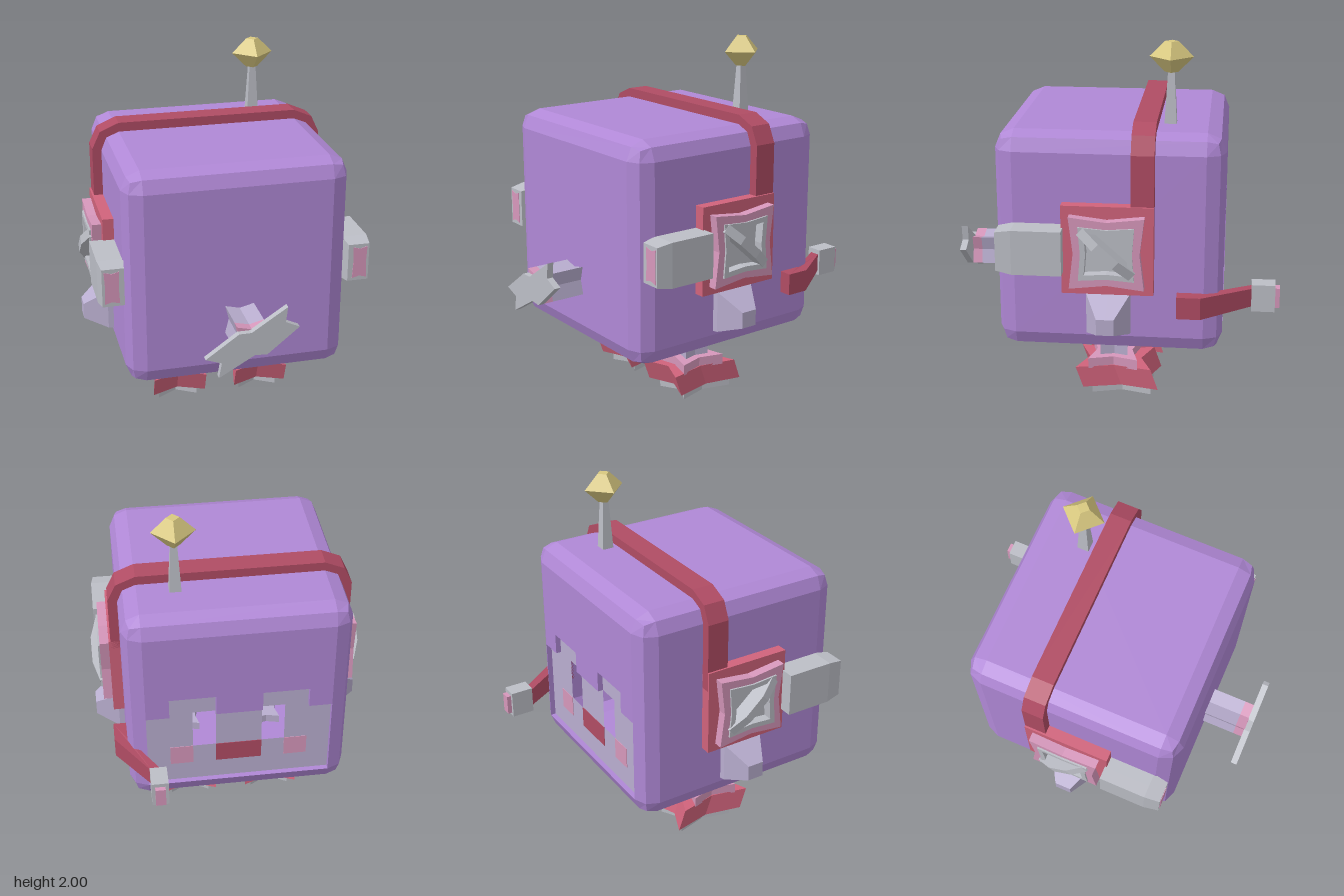
import * as THREE from 'three';
import { RoundedBoxGeometry } from 'three/addons/geometries/RoundedBoxGeometry.js';

function material(name, color, doubleSided = false) {
  const m = new THREE.MeshStandardMaterial({ color, flatShading: true });
  m.name = name;
  if (doubleSided) m.side = THREE.DoubleSide;
  return m;
}

// Closed loft along z; each section is [z, cx, cy, halfX, halfY, pinch].
// A pinch below 1 pulls the side midpoints inward.
function loft(sections) {
  const ring = [[1, 0], [1, 1], [0, 1], [-1, 1], [-1, 0], [-1, -1], [0, -1], [1, -1]];
  const pos = [], idx = [];
  for (const [z, cx, cy, hx, hy, pinch = 1] of sections) {
    for (const [a, b] of ring) {
      const k = a && b ? 1 : pinch;
      pos.push(cx + a * hx * k, cy + b * hy * k, z);
    }
  }
  const last = (sections.length - 1) * 8;
  for (let s = 0; s < last; s += 8) {
    for (let i = 0; i < 8; i++) {
      const j = (i + 1) % 8;
      idx.push(s + i, s + j, s + 8 + j, s + i, s + 8 + j, s + 8 + i);
    }
  }
  const ends = [sections[0], sections[sections.length - 1]];
  ends.forEach(([z, cx, cy], e) => {
    const c = pos.length / 3, o = e * last;
    pos.push(cx, cy, z);
    for (let i = 0; i < 8; i++) {
      const j = (i + 1) % 8;
      if (e) idx.push(c, o + i, o + j);
      else idx.push(c, o + j, o + i);
    }
  });
  const g = new THREE.BufferGeometry();
  g.setAttribute('position', new THREE.Float32BufferAttribute(pos, 3));
  g.setIndex(idx);
  const flat = g.toNonIndexed();
  flat.computeVertexNormals();
  return flat;
}
const loftX = (s) => loft(s).rotateY(Math.PI / 2); // z -> x, x -> -z
const loftY = (s) => loft(s).rotateX(-Math.PI / 2); // z -> y, y -> -z

const shapeOf = (pts) => new THREE.Shape(pts.map(([x, y]) => new THREE.Vector2(x, y)));
const rect = (x0, y0, x1, y1) => [[x0, y0], [x1, y0], [x1, y1], [x0, y1]];
const extrude = (pts, depth) =>
  new THREE.ExtrudeGeometry(shapeOf(pts), { depth, bevelEnabled: false });

export function createModel() {
  const purple = material('purple', 0xb088d6, true);
  const lavender = material('lavender', 0xb9aecf, true);
  const gray = material('gray', 0xbcbec6);
  const red = material('red', 0xd0637b);
  const darkRed = material('dark red', 0xb04c64, true);
  const pink = material('pink', 0xd697bb, true);
  const gold = material('gold', 0xd8c880);

  const model = new THREE.Group();
  const add = (parent, name, geo, mat) => {
    const m = new THREE.Mesh(geo, mat);
    m.name = name;
    parent.add(m);
    return m;
  };

  // Body: hollow rounded cube, its flat face at -z left open
  const box = new RoundedBoxGeometry(1.2, 1.2, 1.2, 1, 0.1);
  const p = box.attributes.position, kept = [];
  for (let i = 0; i < p.count; i += 3) {
    if ([0, 1, 2].every((k) => p.getZ(i + k) < -0.599)) continue;
    for (let k = 0; k < 3; k++) kept.push(p.getX(i + k), p.getY(i + k) + 0.97, p.getZ(i + k) + 0.01);
  }
  const shell = new THREE.BufferGeometry();
  shell.setAttribute('position', new THREE.Float32BufferAttribute(kept, 3));
  shell.computeVertexNormals();
  add(model, 'body', shell, purple);

  // Face: sunken panel with a stepped top edge and open eyes
  const u = 0.125, v = 0.12, y0 = 0.47, zOut = -0.59, zIn = -0.56;
  const steps = [[4, 4], [3, 4], [3, 5], [1, 5], [1, 4], [-1, 4], [-1, 5], [-3, 5], [-3, 4], [-4, 4]]
    .map(([a, b]) => [a * u, y0 + b * v]);
  const outline = [[-0.5, y0], [0.5, y0], ...steps];
  const surround = [...steps, [-0.5, 1.47], [0.5, 1.47]];
  add(model, 'faceSurround', new THREE.ShapeGeometry(shapeOf(surround)).translate(0, 0, zOut), purple);
  const face = shapeOf(outline);
  for (const s of [-1, 1]) {
    face.holes.push(shapeOf(rect(s * u, y0 + 2 * v, s * 2 * u, y0 + 4 * v)));
    add(model, 'cheek', new THREE.BoxGeometry(u, v, 0.006)
      .translate(s * 2.5 * u, y0 + 1.5 * v, zIn), pink);
  }
  add(model, 'facePanel', new THREE.ShapeGeometry(face).translate(0, 0, zIn), lavender);
  add(model, 'mouth', new THREE.BoxGeometry(2 * u, v, 0.006).translate(0, y0 + 1.5 * v, zIn), darkRed);
  const wall = [];
  outline.forEach(([ax, ay], i) => {
    const [bx, by] = outline[(i + 1) % outline.length];
    wall.push(ax, ay, zOut, bx, by, zOut, bx, by, zIn, ax, ay, zOut, bx, by, zIn, ax, ay, zIn);
  });
  const wallGeo = new THREE.BufferGeometry();
  wallGeo.setAttribute('position', new THREE.Float32BufferAttribute(wall, 3));
  wallGeo.computeVertexNormals();
  add(model, 'faceRim', wallGeo, purple);

  // Headband arch
  const outer = [[0.65, 1.1], [0.65, 1.48], [0.605, 1.575], [0.5, 1.62]];
  const inner = [[0.595, 1.1], [0.595, 1.47], [0.565, 1.535], [0.5, 1.565]];
  const flip = (pts) => pts.map(([x, y]) => [-x, y]);
  const arch = [...outer, ...flip(outer).reverse(), ...flip(inner), ...[...inner].reverse()];
  add(model, 'headband', extrude(arch, 0.12).translate(0, 0, -0.23), darkRed);

  // Ear pieces, front blocks and side fins, mirrored left and right
  for (const s of [1, -1]) {
    const side = new THREE.Group();
    side.name = s > 0 ? 'leftSide' : 'rightSide';
    side.scale.x = s;
    model.add(side);
    add(side, 'earPlate', new THREE.BoxGeometry(0.07, 0.48, 0.48).translate(0.625, 0.97, 0.01), red);
    const pinched = (h, k) => [[h, h], [0, h * k], [-h, h], [-h * k, 0], [-h, -h], [0, -h * k], [h, -h], [h * k, 0]];
    const ring = (h, k, hole, depth) => {
      const shape = shapeOf(pinched(h, k));
      shape.holes.push(shapeOf(pinched(hole, 0.92)));
      return new THREE.ExtrudeGeometry(shape, { depth, bevelEnabled: false })
        .rotateY(Math.PI / 2).translate(0.66, 0.97, 0.01);
    };
    add(side, 'earCushion', ring(0.195, 0.88, 0.145, 0.05), pink);
    add(side, 'earInnerRing', ring(0.145, 0.92, 0.115, 0.06), gray);
    add(side, 'earRecess', new THREE.BoxGeometry(0.01, 0.26, 0.26).translate(0.662, 0.97, 0.01), gray);
    const bar = extrude([[-0.18, 0.665], [0.18, 0.665], [0.18, 0.722], [0.07, 0.757], [-0.07, 0.757], [-0.18, 0.722]], 0.05)
      .translate(0, 0, -0.025).rotateZ(-Math.PI / 2).rotateX(Math.PI / 2)
      .rotateX(Math.PI - 0.73);
    add(side, 'earBar', bar.translate(0, 0.975, 0.01), gray);
    add(side, 'frontBlock', loft([
      [0.24, 0.663, 0.97, 0.07, 0.12], [0.5, 0.663, 0.97, 0.07, 0.12], [0.585, 0.663, 0.97, 0.058, 0.105],
    ]), gray);
    add(side, 'frontBlockInset', loft([
      [0.58, 0.67, 0.97, 0.04, 0.09, 0.88], [0.588, 0.67, 0.97, 0.04, 0.09, 0.88],
    ]), pink);
    add(side, 'sideFin', loftX([
      [0.58, -0.01, 0.61, 0.12, 0.12], [0.63, -0.01, 0.608, 0.115, 0.112], [0.758, -0.013, 0.583, 0.046, 0.044],
    ]), lavender);

    // Leg with layered pinched foot
    add(side, 'leg', loftY([[0.21, 0.24, -0.012, 0.077, 0.077, 0.75], [0.42, 0.24, -0.012, 0.077, 0.077, 0.75]]), lavender);
    add(side, 'ankle', loftY([[0.16, 0.24, -0.013, 0.139, 0.137, 0.72], [0.22, 0.24, -0.013, 0.139, 0.137, 0.72]]), pink);
    add(side, 'shoe', loftY([[0.05, 0.24, 0.032, 0.152, 0.21, 0.7], [0.17, 0.24, -0.01, 0.152, 0.21, 0.7]]), red);
    add(side, 'sole', loftY([[0, 0.24, 0.035, 0.112, 0.165, 0.6], [0.06, 0.24, 0.035, 0.112, 0.165, 0.6]]), gray);
  }

  // Tail with a pink collar and a jagged end plate
  add(model, 'tail', loft([[0.58, 0, 0.73, 0.078, 0.078, 0.75], [0.8, 0, 0.73, 0.078, 0.078, 0.75]]), lavender);
  add(model, 'tailCollar', loft([[0.8, 0, 0.73, 0.078, 0.078, 0.75], [0.855, 0, 0.73, 0.078, 0.078, 0.75]]), pink);
  const jag = [[0.18, 0.91], [-0.01, 0.785], [-0.075, 0.785], [-0.25, 0.66], [-0.165, 0.63],
    [-0.18, 0.545], [0.01, 0.655], [0.075, 0.65], [0.245, 0.79], [0.17, 0.825]];
  add(model, 'tailPlate', extrude(jag, 0.035).translate(0, 0, 0.852), gray);

  // Antenna with faceted bulb
  add(model, 'antennaStem', loftY([[1.55, 0.3, 0.29, 0.033, 0.033], [1.87, 0.3, 0.29, 0.016, 0.016]]), gray);
  const bulb = [[0, -0.08], [0.035, -0.08], [0.115, 0], [0.035, 0.08], [0, 0.08]]
    .map(([x, y]) => new THREE.Vector2(x, y));
  add(model, 'antennaBulb', new THREE.LatheGeometry(bulb, 4).translate(0.3, 1.92, -0.29), gold);

  // Microphone boom on the left side, bent around the corner
  const boom = extrude([[0.6, 0.35], [0.67, 0.35], [0.67, 0.475], [0.48, 0.75], [0.425, 0.75], [0.6, 0.475]], 0.1)
    .rotateX(-Math.PI / 2).translate(0, 0.62, 0);
  const bp = boom.attributes.position;
  for (let i = 0; i < bp.count; i++) {
    if (bp.getZ(i) > -0.5) bp.setY(i, 0.67 + (bp.getY(i) - 0.67) * 1.2);
  }
  boom.computeVertexNormals();
  add(model, 'microphoneBoom', boom, darkRed);
  add(model, 'microphone', new THREE.BoxGeometry(0.09, 0.15, 0.125).translate(0.455, 0.672, -0.803), gray);
  add(model, 'microphoneTip', new THREE.BoxGeometry(0.054, 0.11, 0.03).translate(0.455, 0.67, -0.875), pink);

  return model;
}
